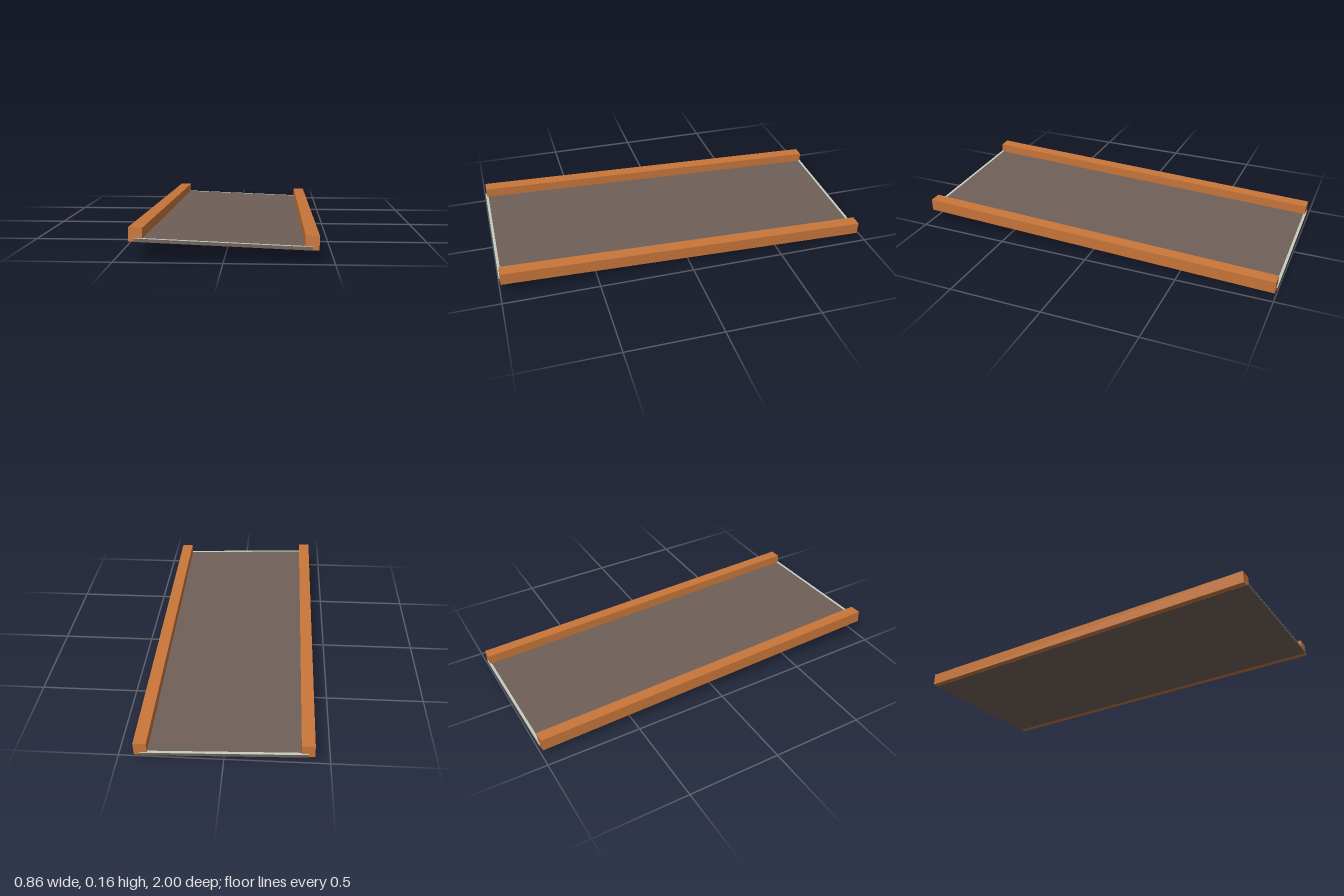
import * as THREE from 'three';

export function createModel() {
  const model = new THREE.Group();
  model.name = 'walkway';

  const material = (name, color) => {
    const m = new THREE.MeshStandardMaterial({ color });
    m.name = name;
    return m;
  };
  const wood = material('orange wood', 0xc8763a);
  const deckBrown = material('deck brown', 0x6f6058);
  const pale = material('pale trim', 0xc4ccc0);

  // The whole walkway leans slightly back and to one side.
  const tilted = new THREE.Group();
  tilted.name = 'tiltedDeck';
  tilted.position.y = 0.0505;
  tilted.rotation.set(-0.0315, 0, -0.038);
  model.add(tilted);

  const box = (name, mat, w, h, d, x, bottom, z) => {
    const mesh = new THREE.Mesh(new THREE.BoxGeometry(w, h, d), mat);
    mesh.name = name;
    mesh.position.set(x, bottom + h / 2, z);
    tilted.add(mesh);
  };

  // Deck panel, reaching partly under the rails and just past their ends
  box('deck', deckBrown, 0.796, 0.0155, 1.996, 0, -0.0005, 0);

  // Side rails
  for (const [name, s] of [['leftRail', 1], ['rightRail', -1]]) {
    box(name, wood, 0.064, 0.065, 1.985, s * 0.396, 0, 0);
  }

  // Pale trim along both ends of the deck
  for (const [name, s] of [['frontTrim', 1], ['backTrim', -1]]) {
    box(name, pale, 0.796, 0.0015, 0.014, 0, 0.015, s * 0.991);
  }

  return model;
}
